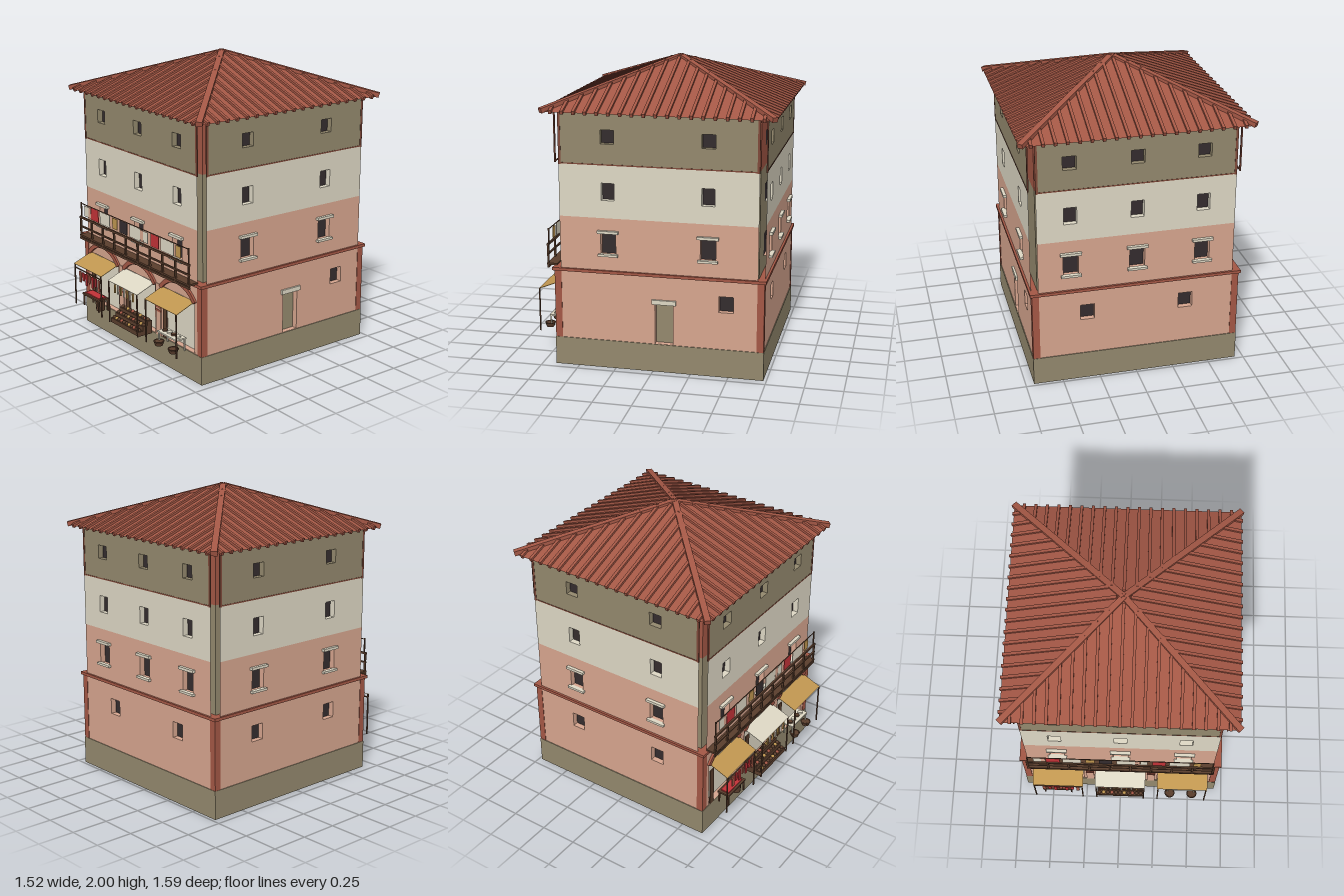
import * as THREE from 'three';

const mat = (name, color) => {
  const m = new THREE.MeshStandardMaterial({ color });
  m.name = name;
  return m;
};
const M = {
  pink: mat('pinkPlaster', 0xd6a58e), cream: mat('creamPlaster', 0xddd7c4),
  olive: mat('oliveStone', 0x93886d), tile: mat('terracotta', 0xa35745),
  timber: mat('redTimber', 0x7f4939), wood: mat('darkWood', 0x593d2c),
  dark: mat('darkGlass', 0x342c2e), red: mat('crimson', 0xc23237), gold: mat('straw', 0xc09650),
};
const Z0 = -0.035;   // centre of the house in z
const WALL = 0.69;   // wall plane distance
const CORE = 0.65;   // inner core, also the half width of a wall
const UP = new THREE.Vector3(0, 1, 0);

function add(parent, name, geo, material, x = 0, y = 0, z = 0) {
  const m = new THREE.Mesh(geo, material);
  m.name = name;
  m.position.set(x, y, z);
  parent.add(m);
  return m;
}
// Box given by its centre and size
const box = (p, name, material, x, y, z, w, h, d) =>
  add(p, name, new THREE.BoxGeometry(w, h, d), material, x, y, z);
// Beam from a to b in the parent's frame
function beam(p, name, material, a, b, w, h) {
  const A = new THREE.Vector3(...a), B = new THREE.Vector3(...b);
  const m = add(p, name, new THREE.BoxGeometry(w, h, A.distanceTo(B)), material);
  m.position.copy(A).add(B).multiplyScalar(0.5);
  m.quaternion.setFromRotationMatrix(new THREE.Matrix4().lookAt(B, A, UP));
}
// Four inward-facing sides of an opening
function revealGeometry(w, h, d) {
  const g = new THREE.BoxGeometry(w, h, d);
  g.scale(-1, 1, 1);
  g.setIndex(Array.from(g.index.array).slice(0, 24));
  g.clearGroups();
  g.computeVertexNormals();
  return g;
}
// Wall sheet with recessed openings {x, y0, y1, w, back, sills, lintel}
function wall(side, y0, y1, material, openings) {
  const s = new THREE.Shape();
  s.moveTo(-CORE, y0); s.lineTo(CORE, y0); s.lineTo(CORE, y1); s.lineTo(-CORE, y1); s.closePath();
  for (const o of openings) {
    const h = new THREE.Path(), a = o.x - o.w / 2, b = o.x + o.w / 2;
    h.moveTo(a, o.y0); h.lineTo(a, o.y1); h.lineTo(b, o.y1); h.lineTo(b, o.y0); h.closePath();
    s.holes.push(h);
    const H = o.y1 - o.y0, yc = (o.y0 + o.y1) / 2, D = WALL - CORE - 0.002;
    add(side, 'openingReveal', revealGeometry(o.w, H, D), material, o.x, yc, WALL - D / 2);
    add(side, 'openingBack', new THREE.PlaneGeometry(o.w, H), o.back ?? M.dark, o.x, yc, WALL - D);
    if (o.sills) {
      box(side, 'lintel', M.cream, o.x, o.y1 + 0.007, 0.697, 0.138, 0.018, 0.03);
      box(side, 'sill', M.cream, o.x, o.y0 - 0.003, 0.697, 0.13, 0.015, 0.03);
    }
    if (o.lintel) box(side, 'doorLintel', M.cream, o.x, o.y1 + 0.01, 0.694, 0.16, 0.03, 0.02);
  }
  add(side, 'wall', new THREE.ShapeGeometry(s), material, 0, 0, WALL);
}

function buildSide(house, index) {
  const side = new THREE.Group();
  side.name = ['frontSide', 'leftSide', 'backSide', 'rightSide'][index];
  side.rotation.y = index * Math.PI / 2;
  house.add(side);
  const xs = index % 2 ? [-0.327, 0.327] : [-0.435, 0, 0.435];
  const row = (y0, y1, w, sills) => xs.map(x => ({ x, y0, y1, w, sills }));
  const small = x => ({ x, y0: 0.44, y1: 0.547, w: 0.095 });
  const ground = [
    [-0.44, 0, 0.44].map(x => ({ x, y0: 0.192, y1: 0.545, w: 0.35, back: M.cream })),
    [small(0.447), { x: 0.04, y0: 0.192, y1: 0.47, w: 0.12, back: M.olive, lintel: true }],
    [small(-0.33), small(0.33)],
    [small(-0.33), small(0.33)],
  ][index];
  wall(side, 0.19, 0.66, M.pink, ground);
  wall(side, 0.66, 1.02, M.pink, row(0.778, 0.922, 0.1, true));
  wall(side, 1.02, 1.37, M.cream, row(1.137, 1.25, 0.085));
  wall(side, 1.37, 1.7, M.olive, row(1.505, 1.595, 0.088));

  // Top floor timber trim and ground corner pillar
  for (const s of [-1, 1]) box(side, 'cornerTrim', M.timber, s * 0.642, 1.53, 0.688, 0.016, 0.335, 0.008);
  box(side, 'floorTrim', M.timber, 0, 1.37, 0.688, 1.3, 0.008, 0.008);
  box(side, 'cornerPillar', M.tile, 0.67, 0.425, 0.67, 0.046, 0.47, 0.046);

  // Roof tile ribs running from the eave to the hips
  for (let i = -9; i <= 9; i++) {
    const x = i * 0.0755, y = d => 1.99 - 0.38 * d, top = Math.max(Math.abs(x), 0.04);
    beam(side, 'roofRib', M.tile, [x, y(0.75), 0.75], [x, y(top), top], 0.02, 0.026);
  }
  beam(side, 'roofHip', M.tile, [0.745, 1.712, 0.745], [0, 1.983, 0], 0.04, 0.032);
}

function buildHouse(model) {
  const house = new THREE.Group();
  house.name = 'house';
  house.position.z = Z0;
  model.add(house);
  box(house, 'base', M.olive, 0, 0.095, 0, 1.39, 0.19, 1.39);
  box(house, 'core', M.olive, 0, 1.02, 0, 1.3, 0.7, 1.3);
  box(house, 'topCore', M.tile, 0, 1.535, 0, 1.3, 0.33, 1.3);
  box(house, 'floorBand', M.tile, 0, 0.661, 0, 1.41, 0.02, 1.41);
  const roof = new THREE.ConeGeometry(0.745 * Math.SQRT2, 0.285, 4, 1).rotateY(Math.PI / 4).toNonIndexed();
  roof.computeVertexNormals();
  add(house, 'roof', roof, M.tile, 0, 1.8475, 0);
  for (let i = 0; i < 4; i++) buildSide(house, i);
}

// Arches above the shops and striped pillars between them
function buildArcade(model) {
  const s = new THREE.Shape(), a = 0.92, c = Math.PI / 2;
  s.absarc(0, 0, 0.25, c - a, c + a, false);
  s.absarc(0, 0, 0.22, c + a, c - a, true);
  const arch = new THREE.ExtrudeGeometry(s, { depth: 0.02, bevelEnabled: false, curveSegments: 14 });
  for (const x of [-0.44, 0, 0.44]) add(model, 'arch', arch, M.tile, x, 0.395, 0.65);
  for (const x of [-0.22, 0.22]) {
    box(model, 'pilaster', M.pink, x, 0.37, 0.655, 0.055, 0.36, 0.014);
    for (const y of [0.365, 0.39, 0.415]) box(model, 'pilasterStripe', M.tile, x, y, 0.657, 0.058, 0.014, 0.016);
  }
}

function buildBalcony(model) {
  const g = new THREE.Group();
  g.name = 'balcony';
  model.add(g);
  box(g, 'balconyFloor', M.wood, 0, 0.675, 0.688, 1.3, 0.012, 0.07);
  for (const [y, h] of [[0.807, 0.014], [0.742, 0.01], [0.655, 0.014]])
    box(g, 'rail', M.wood, 0, y, 0.716, 1.3, h, 0.012);
  for (let i = 0; i < 10; i++) box(g, 'railPost', M.wood, -0.64 + i * 1.28 / 9, 0.732, 0.716, 0.012, 0.15, 0.012);
  for (const x of [-0.635, 0.635]) box(g, 'linePost', M.wood, x, 0.86, 0.712, 0.008, 0.11, 0.008);
  box(g, 'clothesLine', M.wood, 0, 0.908, 0.712, 1.27, 0.005, 0.005);
  // Laundry: centre x, width, colour
  const cloths = [[-0.567, 0.055, M.cream], [-0.525, 0.03, M.pink], [-0.46, 0.095, M.red],
    [-0.33, 0.125, M.cream], [-0.205, 0.06, M.gold], [-0.1, 0.09, M.dark], [0.038, 0.125, M.cream],
    [0.118, 0.032, M.pink], [0.162, 0.05, M.cream], [0.265, 0.09, M.red], [0.405, 0.14, M.cream],
    [0.525, 0.05, M.gold]];
  for (const [x, w, m] of cloths) box(g, 'cloth', m, x, 0.862, 0.712, w, w > 0.08 ? 0.085 : 0.075, 0.004);
}

// Awning, front posts and a door leaf for each shop
function buildStalls(model) {
  [-0.44, 0, 0.44].forEach((x, i) => {
    const g = new THREE.Group();
    g.name = ['meatStall', 'fruitStall', 'cheeseStall'][i];
    g.position.x = x;
    model.add(g);
    beam(g, 'awning', i === 1 ? M.cream : M.gold, [0, 0.543, 0.655], [0, 0.487, 0.797], 0.355, 0.003);
    for (const s of [-1, 1]) box(g, 'awningPost', M.wood, s * 0.17, 0.338, 0.794, 0.008, 0.296, 0.008);
    box(g, 'doorLeaf', M.wood, -0.145, 0.335, 0.658, 0.042, 0.28, 0.008);

    if (i === 0) {
      // Hanging meat over a counter
      box(g, 'meatBar', M.wood, 0, 0.463, 0.794, 0.33, 0.007, 0.007);
      for (let k = 0; k < 7; k++) {
        const h = [0.08, 0.06, 0.085, 0.055][k % 4];
        box(g, 'meat', k % 3 ? M.red : M.tile, -0.1 + k * 0.04, 0.45 - h / 2, 0.794, 0.022, h, 0.008);
      }
      box(g, 'counterTop', M.wood, -0.01, 0.277, 0.73, 0.21, 0.012, 0.09);
      box(g, 'counterMeat', M.red, -0.01, 0.287, 0.73, 0.17, 0.008, 0.06);
      for (const sx of [-1, 1]) for (const sz of [-1, 1])
        box(g, 'counterLeg', M.wood, -0.01 + sx * 0.095, 0.232, 0.73 + sz * 0.036, 0.01, 0.08, 0.01);
      add(g, 'choppingBlock', new THREE.CylinderGeometry(0.035, 0.03, 0.08, 10), M.wood, 0.05, 0.232, 0.73);
    }
    if (i === 1) {
      // Hanging bunches over stepped crates of fruit
      for (let k = 0; k < 7; k++)
        box(g, 'hangingBunch', k % 2 ? M.cream : M.gold, -0.1 + k * 0.036, 0.45, 0.79, 0.01, 0.06, 0.01);
      const fruit = new THREE.IcosahedronGeometry(0.013, 1);
      for (let r = 0; r < 3; r++) {
        const y = 0.212 + r * 0.03, z = 0.768 - r * 0.036;
        box(g, 'crate', M.wood, 0, (y + 0.19) / 2 + 0.004, z, 0.335, y - 0.19 + 0.01, 0.036);
        for (let k = 0; k < 11; k++)
          add(g, 'fruit', fruit, [M.wood, M.gold, M.wood, M.tile, M.wood][(k + r * 2) % 5], -0.15 + k * 0.03, y + 0.014, z);
      }
    }
    if (i === 2) {
      // Table with cheeses and baskets on the ground
      box(g, 'tableTop', M.cream, 0, 0.277, 0.71, 0.21, 0.01, 0.08);
      for (const sx of [-1, 1]) for (const sz of [-1, 1])
        box(g, 'tableLeg', M.cream, sx * 0.095, 0.232, 0.71 + sz * 0.033, 0.008, 0.084, 0.008);
      const cheese = new THREE.CylinderGeometry(0.018, 0.018, 0.012, 10);
      for (let k = 0; k < 4; k++) add(g, 'cheese', cheese, k % 2 ? M.cream : M.wood, -0.07 + k * 0.047, 0.287, 0.71);
      const basket = new THREE.CylinderGeometry(0.035, 0.026, 0.028, 12);
      for (const bx of [-0.08, 0.08]) {
        add(g, 'basket', basket, M.wood, bx, 0.204, 0.755);
        add(g, 'basketRim', new THREE.TorusGeometry(0.033, 0.004, 5, 14).rotateX(Math.PI / 2), M.wood, bx, 0.218, 0.755);
      }
    }
  });
}

export function createModel() {
  const model = new THREE.Group();
  model.name = 'marketHouse';
  buildHouse(model);
  buildArcade(model);
  buildBalcony(model);
  buildStalls(model);
  return model;
}
